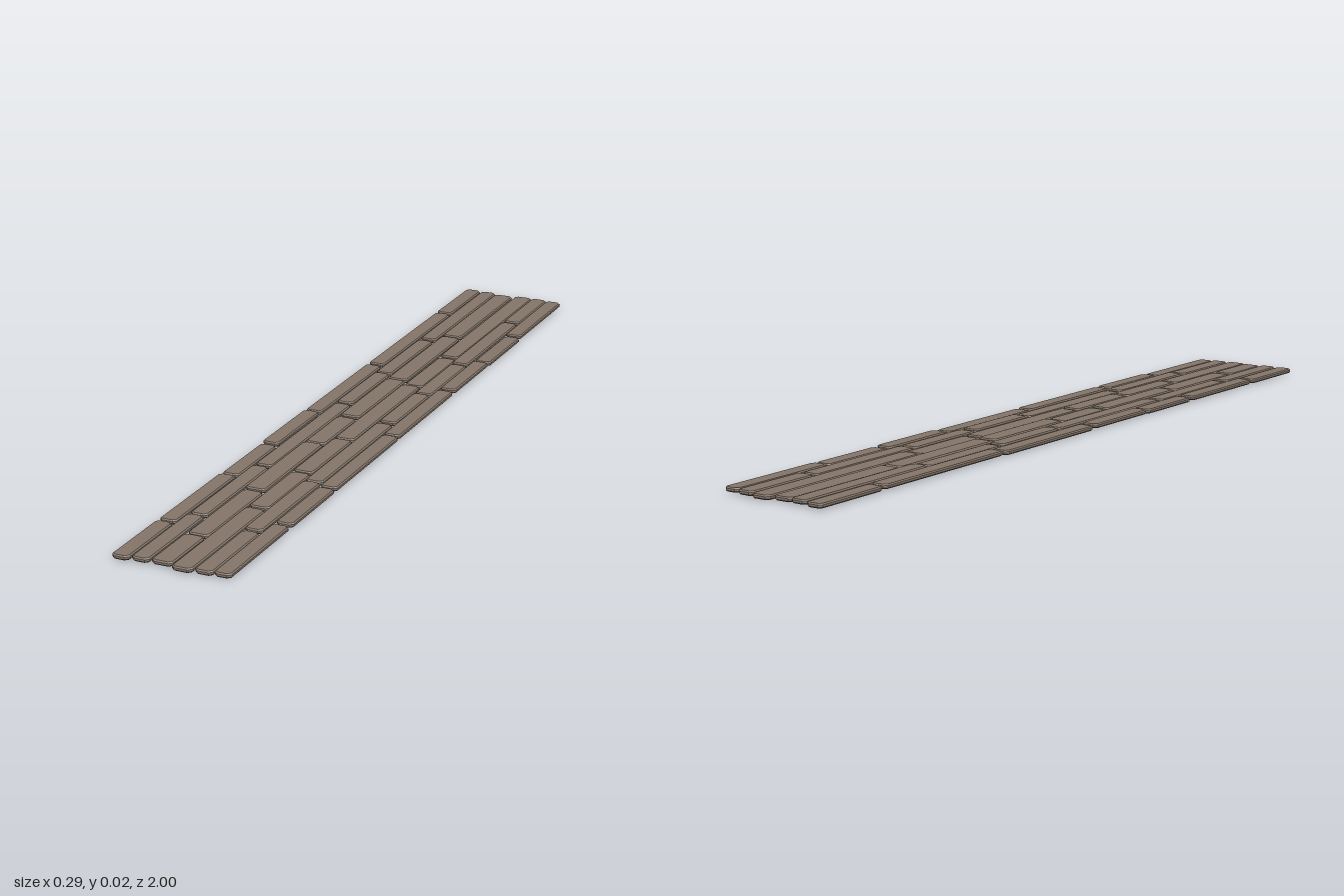
import * as THREE from 'three';

const THICK = 0.011, BEVEL = 0.003, GAP = 0.007;

// Plank lying flat: chamfered corners in plan, bevelled rims above and below
function plankGeometry(width, length) {
  const w = width / 2 - BEVEL, l = length / 2 - BEVEL, c = 0.007;
  const shape = new THREE.Shape();
  shape.moveTo(-w + c, -l);
  shape.lineTo(w - c, -l);
  shape.lineTo(w, -l + c);
  shape.lineTo(w, l - c);
  shape.lineTo(w - c, l);
  shape.lineTo(-w + c, l);
  shape.lineTo(-w, l - c);
  shape.lineTo(-w, -l + c);
  shape.closePath();
  const geo = new THREE.ExtrudeGeometry(shape, {
    depth: THICK - 2 * BEVEL, bevelEnabled: true, bevelSegments: 1,
    bevelSize: BEVEL, bevelThickness: BEVEL,
  });
  geo.translate(0, 0, BEVEL);
  geo.rotateX(-Math.PI / 2);
  return geo;
}

// Columns from -x to +x: side edges, and z of the joints between planks
const COLUMNS = [
  { x: [-0.145, -0.102], joints: [-0.78, -0.33, 0.04, 0.28, 0.49, 0.79] },
  { x: [-0.099, -0.056], joints: [-0.56, -0.28, -0.04, 0.41, 0.73] },
  { x: [-0.054, -0.002], joints: [-0.61, -0.25, 0.04, 0.23, 0.55, 0.83] },
  { x: [0, 0.05], joints: [-0.46, -0.23, 0.18, 0.41, 0.64] },
  { x: [0.051, 0.095], joints: [-0.78, -0.42, -0.18, 0.04, 0.45, 0.76] },
  { x: [0.097, 0.139], joints: [-0.68, -0.46, -0.23, 0.11, 0.47, 0.7] },
];

export function createModel() {
  const model = new THREE.Group();
  model.name = 'plankWalkway';
  const wood = new THREE.MeshStandardMaterial({ color: 0x85766a });
  wood.name = 'weathered wood';

  COLUMNS.forEach(({ x: [x0, x1], joints }, i) => {
    const column = new THREE.Group();
    column.name = `plankColumn${i + 1}`;
    // Staggered outer ends
    const end = 1 - 0.005 * (i % 3);
    const stops = [-end, ...joints, end];
    for (let j = 0; j <= joints.length; j++) {
      const z0 = stops[j] + (j > 0 ? GAP / 2 : 0);
      const z1 = stops[j + 1] - (j < joints.length ? GAP / 2 : 0);
      // Planks sit slightly uneven sideways and in height; one has sunk
      const shift = 0.0015 * Math.sin(i * 2.3 + j * 1.9);
      const sunk = i === 3 && j === 1;
      const plank = new THREE.Mesh(plankGeometry(x1 - x0, z1 - z0), wood);
      plank.name = `plank${j + 1}`;
      plank.position.set(
        (x0 + x1) / 2 + shift,
        sunk ? 0 : 0.0035 + 0.0012 * Math.sin(i * 1.7 + j * 2.6),
        (z0 + z1) / 2,
      );
      column.add(plank);
    }
    model.add(column);
  });
  return model;
}
